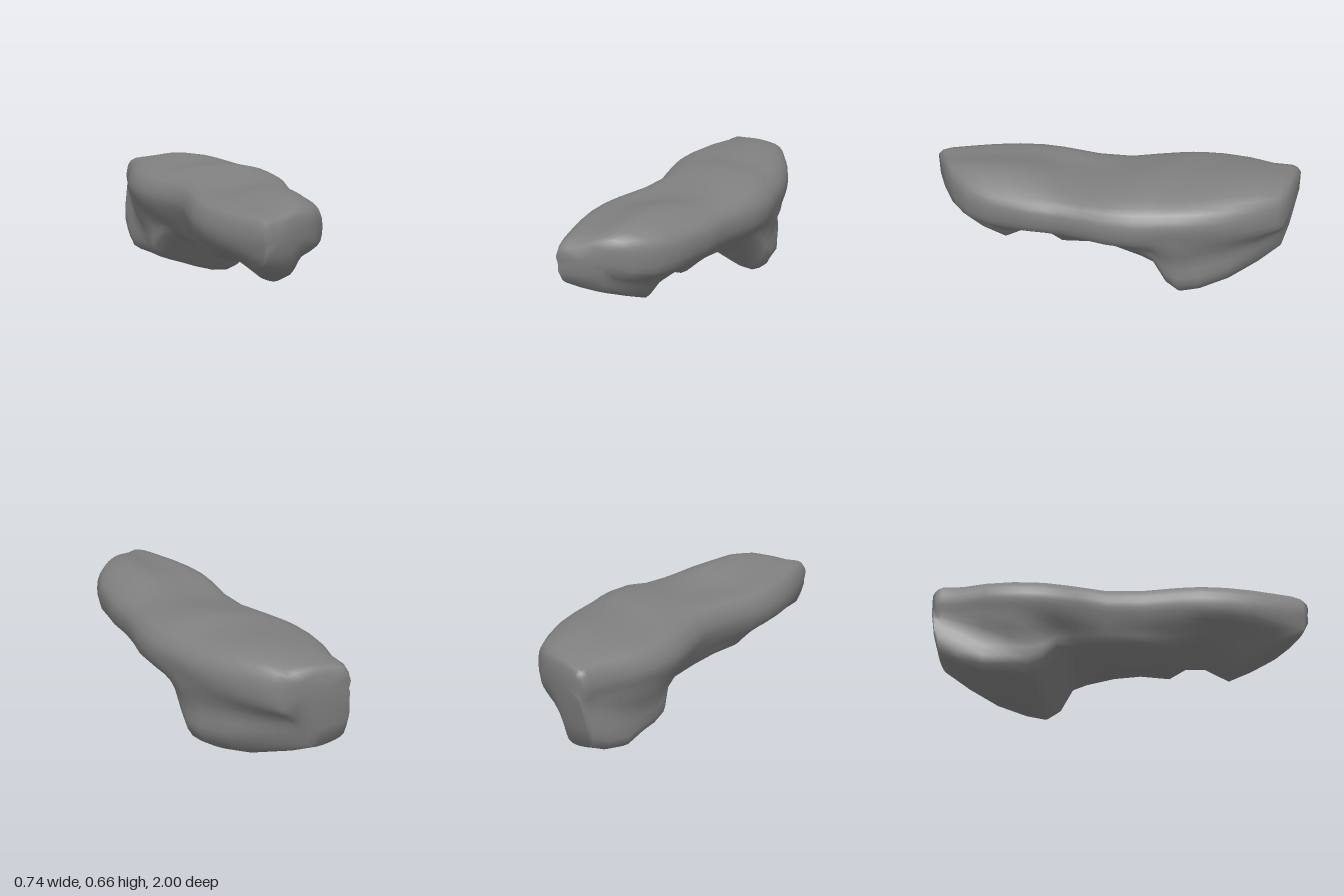
import * as THREE from 'three';

// Rock stations, back to front: z, left x, right x, top y, bottom y, foot left x, foot right x
const STATIONS = [
  [-1.0, -0.245, 0.03, 0.575, 0.42, -0.24, 0.0],
  [-0.98, -0.255, 0.1, 0.6, 0.27, -0.25, -0.02],
  [-0.95, -0.265, 0.145, 0.615, 0.155, -0.26, -0.03],
  [-0.85, -0.28, 0.21, 0.64, 0.1, -0.275, 0.09],
  [-0.72, -0.335, 0.275, 0.65, 0.045, -0.29, 0.2],
  [-0.58, -0.365, 0.32, 0.64, 0.012, -0.29, 0.27],
  [-0.48, -0.37, 0.338, 0.637, 0.0, -0.28, 0.29],
  [-0.41, -0.367, 0.348, 0.638, 0.045, -0.27, 0.28],
  [-0.34, -0.355, 0.36, 0.65, 0.165, -0.24, 0.25],
  [-0.25, -0.335, 0.367, 0.655, 0.2, -0.22, 0.23],
  [-0.08, -0.288, 0.355, 0.635, 0.225, -0.21, 0.2],
  [0.1, -0.295, 0.32, 0.61, 0.23, -0.22, 0.17],
  [0.3, -0.345, 0.295, 0.612, 0.21, -0.23, 0.13],
  [0.42, -0.362, 0.288, 0.64, 0.27, -0.22, 0.14],
  [0.55, -0.358, 0.28, 0.65, 0.265, -0.2, 0.13],
  [0.69, -0.333, 0.255, 0.65, 0.19, -0.15, 0.09],
  [0.82, -0.297, 0.23, 0.645, 0.25, -0.19, 0.08],
  [0.92, -0.265, 0.18, 0.625, 0.3, -0.22, 0.05],
  [0.975, -0.245, 0.1, 0.6, 0.345, -0.22, 0.0],
  [1.0, -0.235, 0.01, 0.575, 0.42, -0.225, -0.03],
];
const RING = 42;

// Slab with a level rim and steep wall, stepping in below to a tilted foot
function crossSection([z, xl, xr, top, bot, fl, fr]) {
  const mix = THREE.MathUtils.lerp;
  const step = THREE.MathUtils.smoothstep;
  const x = t => mix(xl, xr, t);
  const rim = top - bot;
  const tilt = Math.max(0, 0.42 - bot) * mix(0.04, 0.22, step(z, -0.85, -0.5));
  const wall = Math.max(0.41, bot + rim * 0.35);
  const neck = mix(wall, bot, 0.35);
  // The deep rear foot has nearly upright sides, the shallow underside slopes
  const inset = mix(0.6, 0.9, step(0.2 - bot, 0, 0.1));
  const shoulder = Math.min(0.585, top - 0.025);
  // Sections slant so that both ends are oblique faces
  const slant = mix(0.22, -0.4, step(z, -0.3, 0.9));
  const points = [
    [xl, mix(wall, shoulder, 0.5)],
    [x(0.07), shoulder],
    [x(0.32), mix(shoulder, top, z > 0 ? 0.4 : 0.75)],
    [x(0.64), top],
    [x(0.91), mix(shoulder, top, z > 0 ? 0 : 0.3)],
    [xr, mix(wall, shoulder, 0.65)],
    [x(0.98), wall],
    [mix(xr, fr, inset), neck],
    [fr, bot + rim * 0.18],
    [mix(fl, fr, 0.77), bot],
    [mix(fl, fr, 0.3), bot + tilt * 0.6],
    [fl, bot + tilt + rim * 0.06],
    [mix(xl, fl, inset), Math.max(neck, bot + tilt + rim * 0.1)],
    [x(0.03), wall],
  ].map(([px, py]) => new THREE.Vector3(px, py, z + slant * Math.max(0, px + 0.235)));
  return new THREE.CatmullRomCurve3(points, true, 'centripetal').getPoints(RING).slice(0, RING);
}

// Skin the closed rings and close both ends with fans
function loft(rings) {
  const positions = rings.flat().flatMap(p => [p.x, p.y, p.z]);
  const index = [];
  for (let i = 0; i < rings.length - 1; i++) {
    for (let j = 0; j < RING; j++) {
      const k = (j + 1) % RING;
      const a = i * RING + j, b = i * RING + k;
      index.push(a, a + RING, b, b, a + RING, b + RING);
    }
  }
  for (const end of [0, rings.length - 1]) {
    const centre = new THREE.Vector3();
    rings[end].forEach(p => centre.addScaledVector(p, 1 / RING));
    const c = positions.length / 3;
    positions.push(centre.x, centre.y, centre.z);
    for (let j = 0; j < RING; j++) {
      const a = end * RING + j, b = end * RING + (j + 1) % RING;
      if (end === 0) index.push(c, a, b);
      else index.push(c, b, a);
    }
  }
  const geometry = new THREE.BufferGeometry();
  geometry.setAttribute('position', new THREE.Float32BufferAttribute(positions, 3));
  geometry.setIndex(index);
  geometry.computeVertexNormals();
  return geometry;
}

export function createModel() {
  const group = new THREE.Group();
  group.name = 'rockLedge';

  // Gentle weathering of the lower flanks, leaving the rim and ground contact in place
  const rings = STATIONS.map(crossSection);
  for (const p of rings.flat()) {
    const low = THREE.MathUtils.smoothstep(0.42 - p.y, 0, 0.1) * THREE.MathUtils.smoothstep(p.y, 0.03, 0.12);
    p.x += 0.01 * low * Math.sin(p.z * 13 + p.y * 17);
  }

  const rock = new THREE.Mesh(loft(rings), new THREE.MeshStandardMaterial({ color: 0x808080 }));
  rock.name = 'rock';
  group.add(rock);
  return group;
}
